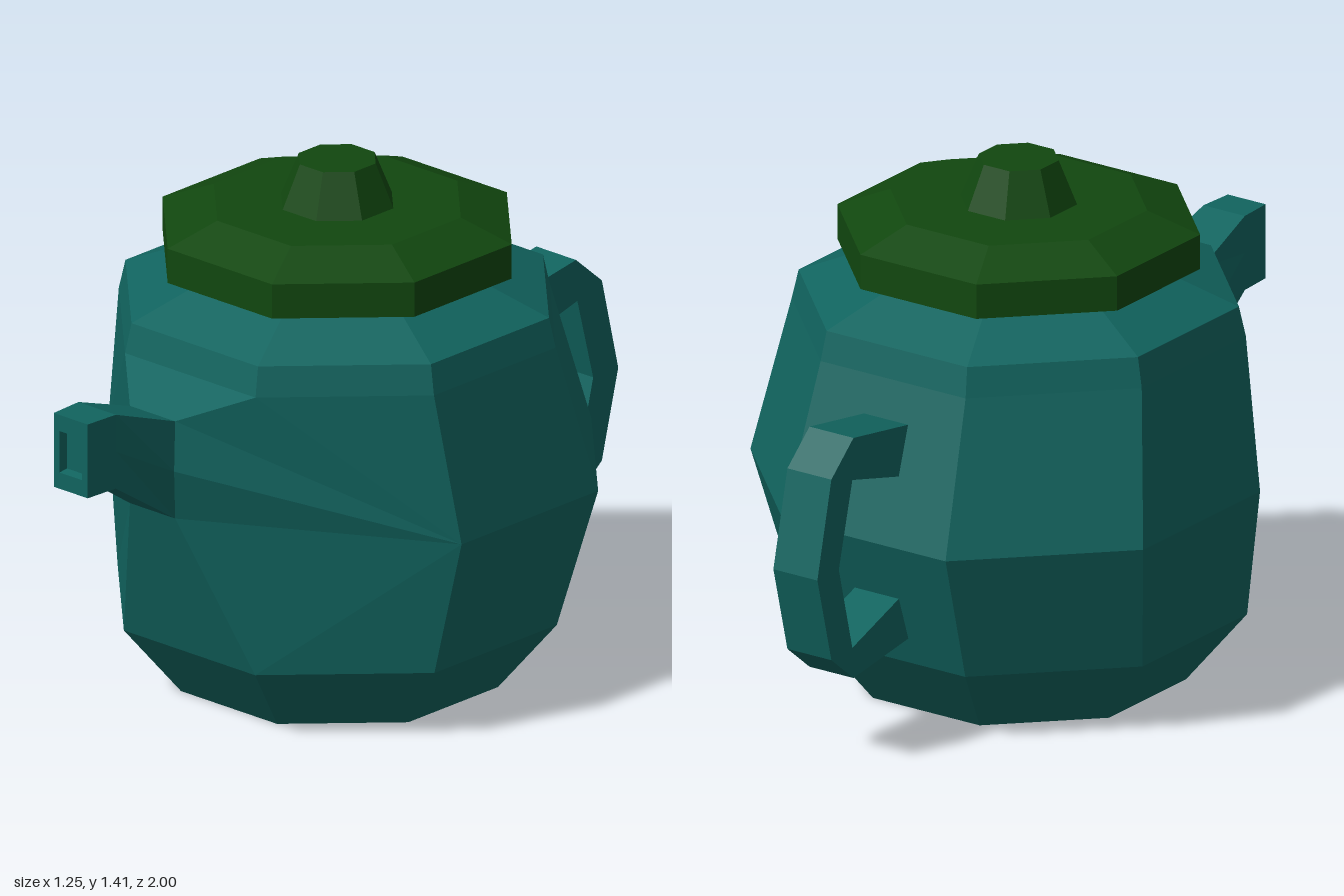
import * as THREE from 'three';

const teal = new THREE.MeshStandardMaterial({ color: 0x11645f, flatShading: true });
teal.name = 'teal glaze';
const green = new THREE.MeshStandardMaterial({ color: 0x11470f, flatShading: true });
green.name = 'dark green glaze';

// Octagonal ring at height y: a is the distance to the flats
function ring(y, a, zc = -0.01) {
  const t = a * Math.tan(Math.PI / 8);
  return [[t, a], [a, t], [a, -t], [t, -a], [-t, -a], [-a, -t], [-a, t], [-t, a]]
    .map(([x, z]) => [x, y, z + zc]);
}

// Collects flat polygons, each given counterclockwise from outside
class Faces {
  constructor() { this.points = []; }
  poly(p) {
    for (let i = 1; i < p.length - 1; i++) this.points.push(...p[0], ...p[i], ...p[i + 1]);
  }
  loft(a, b, skip = []) {
    a.forEach((_, i) => {
      const j = (i + 1) % a.length;
      if (!skip.includes(i)) this.poly([a[i], a[j], b[j], b[i]]);
    });
  }
  mesh(name, material) {
    const g = new THREE.BufferGeometry();
    g.setAttribute('position', new THREE.Float32BufferAttribute(this.points, 3));
    g.computeVertexNormals();
    const m = new THREE.Mesh(g, material);
    m.name = name;
    return m;
  }
}

// Closed solid through a stack of rings
function stack(name, material, rings) {
  const f = new Faces();
  for (let i = 0; i < rings.length - 1; i++) f.loft(rings[i], rings[i + 1]);
  f.poly([...rings[0]].reverse());
  f.poly(rings[rings.length - 1]);
  return f.mesh(name, material);
}

// Six-sided spout section: bottom, middle and top corners, mirrored
function section(low, mid, top) {
  const right = [low, mid, top];
  return [...right, ...right.map(([x, y, z]) => [-x, y, z]).reverse()];
}

const spoutRoot = section([0.08, 0.63, 0.69], [0.095, 0.77, 0.71], [0.08, 0.9, 0.69]);

// Faceted body, its front drawn out to meet the spout
function makeBody() {
  const f = new Faces();
  const r = [ring(0, 0.41), ring(0.195, 0.56), ring(0.56, 0.625, -0.07), ring(0.965, 0.557),
    ring(1.045, 0.54), ring(1.115, 0.38), ring(1.15, 0.38)];
  const [lowR, midR, topR, topL, midL, lowL] = spoutRoot;
  r[2][0] = lowR;
  r[2][7] = lowL;
  for (let i = 0; i < r.length - 1; i++) f.loft(r[i], r[i + 1], i === 2 ? [0, 6, 7] : []);
  // cheeks beside the spout and the slope above it
  f.poly([r[2][1], r[3][1], r[3][0], topR, midR, lowR]);
  f.poly([r[2][6], lowL, midL, topL, r[3][7], r[3][6]]);
  f.poly([topL, topR, r[3][0], r[3][7]]);
  f.poly([...r[0]].reverse());
  f.poly(r[6]);
  return f.mesh('body', teal);
}

// Spout with a small recessed opening
function makeSpout() {
  const f = new Faces();
  const flat = (x, y0, y1, z) => section([x, y0, z], [x, (y0 + y1) / 2, z], [x, y1, z]);
  const s = [spoutRoot, flat(0.066, 0.77, 0.975, 0.9), flat(0.06, 0.77, 0.975, 1),
    flat(0.04, 0.815, 0.93, 1), flat(0.036, 0.82, 0.925, 0.975)];
  for (let i = 0; i < s.length - 1; i++) f.loft(s[i], s[i + 1]);
  f.poly(s[s.length - 1]);
  return f.mesh('spout', teal);
}

// Angular loop handle, drawn from the side and extruded across
function makeHandle() {
  const outline = [[0.58, 0.863], [0.84, 0.905], [0.938, 0.82], [1, 0.56], [0.938, 0.32],
    [0.84, 0.24], [0.57, 0.277], [0.6, 0.41], [0.845, 0.325], [0.905, 0.56], [0.845, 0.79],
    [0.6, 0.725]];
  const shape = new THREE.Shape(outline.map(([x, y]) => new THREE.Vector2(x, y)));
  const g = new THREE.ExtrudeGeometry(shape, { depth: 0.14, bevelEnabled: false });
  g.translate(0, 0, -0.07).rotateY(Math.PI / 2);
  const m = new THREE.Mesh(g, teal);
  m.name = 'handle';
  return m;
}

export function createModel() {
  const model = new THREE.Group();
  model.name = 'teapot';
  const lid = stack('lid', green, [ring(1.14, 0.445), ring(1.235, 0.445), ring(1.29, 0.315)]);
  const knob = stack('lidKnob', green, [ring(1.285, 0.145), ring(1.408, 0.098)]);
  model.add(makeBody(), makeSpout(), makeHandle(), lid, knob);
  return model;
}
